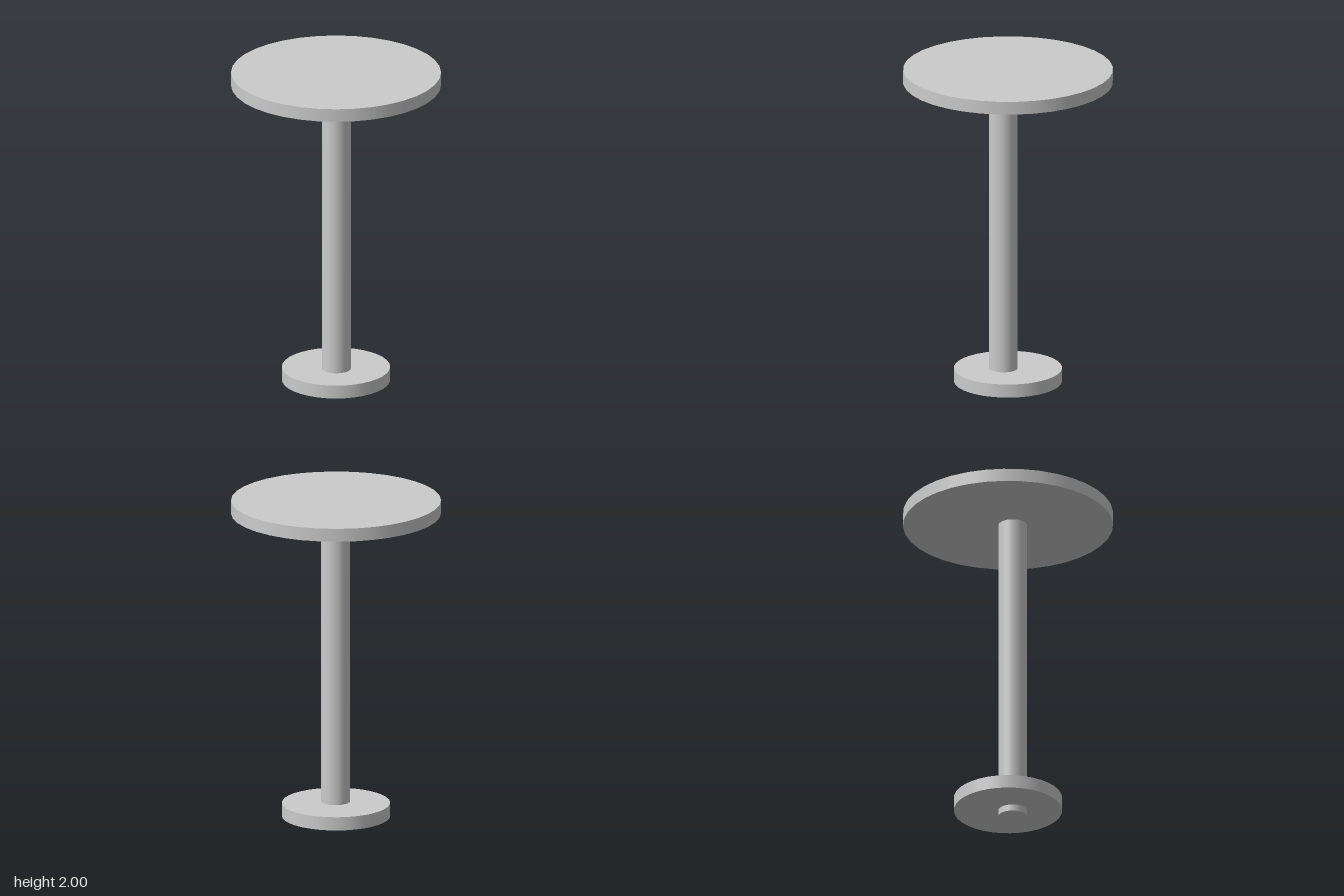
import * as THREE from 'three';

const SEGMENTS = 36;

export function createModel() {
  const group = new THREE.Group();
  const material = new THREE.MeshStandardMaterial({ color: 0xcccccc });

  // Upright disc or post spanning y0 to y1
  function addRound(name, radius, y0, y1, x = 0, z = 0) {
    const geometry = new THREE.CylinderGeometry(radius, radius, y1 - y0, SEGMENTS);
    const mesh = new THREE.Mesh(geometry, material);
    mesh.name = name;
    mesh.position.set(x, (y0 + y1) / 2, z);
    group.add(mesh);
  }

  addRound('tableTop', 0.628, 1.92, 2);
  // The post sits slightly off centre and pokes out below the base
  addRound('post', 0.086, 0, 1.94, -0.02, 0.02);
  addRound('base', 0.324, 0.04, 0.122);

  return group;
}
